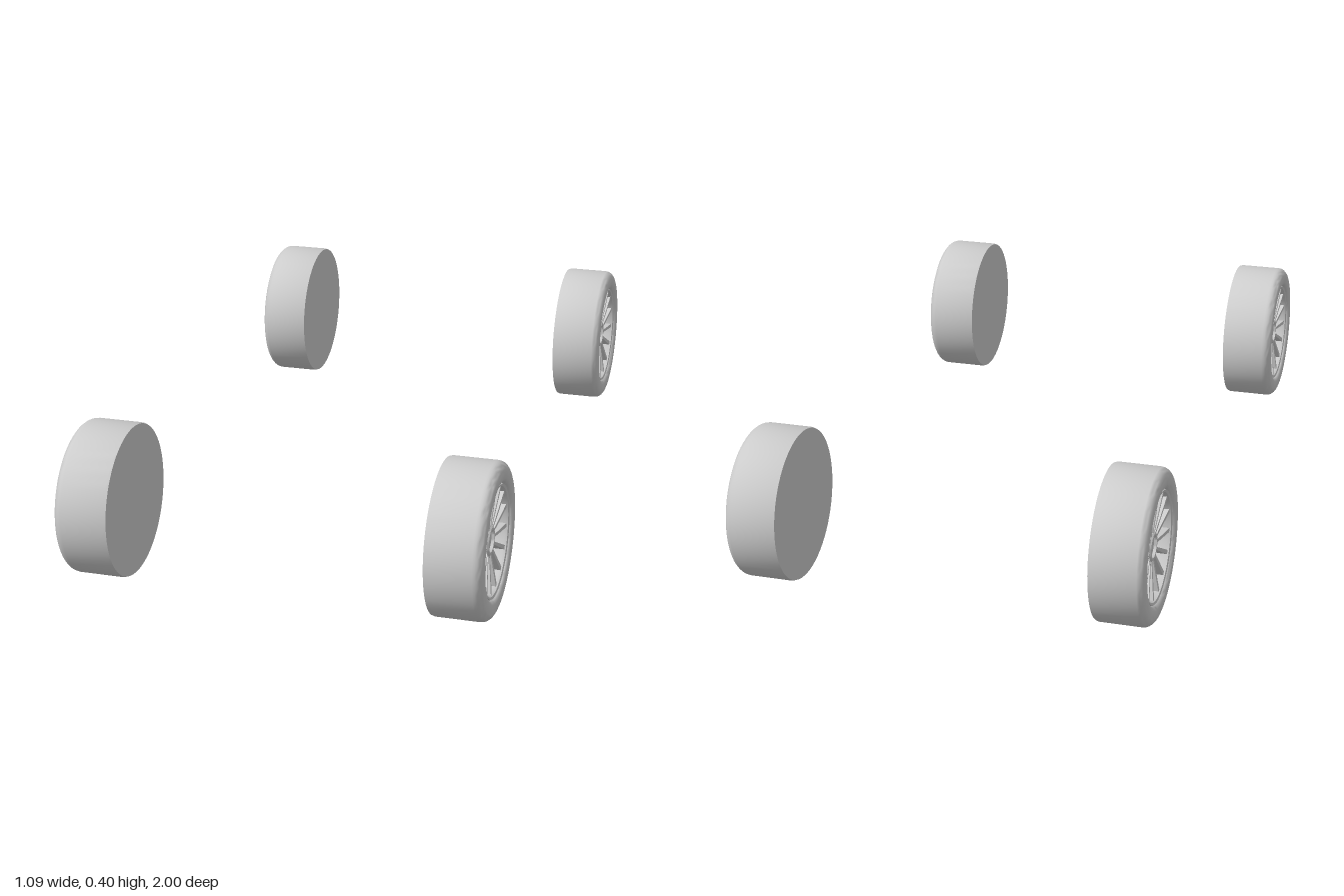
import * as THREE from 'three';
import { toCreasedNormals } from 'three/addons/utils/BufferGeometryUtils.js';

const material = new THREE.MeshStandardMaterial({ color: 0xcccccc });
const SPOKES = 15;

function part(name, geometry, parent) {
  const mesh = new THREE.Mesh(geometry, material);
  mesh.name = name;
  parent.add(mesh);
  return mesh;
}

// Turned part around y, from [radius, height] pairs
function turned(points, segments = 64) {
  const profile = points.map(([r, h]) => new THREE.Vector2(r, h));
  return toCreasedNormals(new THREE.LatheGeometry(profile, segments), 0.6);
}

// Tapered bar running along +x, with its outer face sloping from h0 to h1
function spokeGeometry(r0, r1, w0, w1, h0, h1, depth) {
  const geo = new THREE.BoxGeometry(1, 1, 1);
  const p = geo.attributes.position;
  for (let i = 0; i < p.count; i++) {
    const outer = p.getX(i) > 0;
    const top = outer ? h1 : h0;
    p.setXYZ(i, outer ? r1 : r0, p.getY(i) > 0 ? top : top - depth, p.getZ(i) * (outer ? w1 : w0));
  }
  geo.computeVertexNormals();
  return geo;
}

// Wheel built along +y (outer side up), inner face on y = 0
function createWheel(name, radius, width) {
  const wheel = new THREE.Group();
  wheel.name = name;
  const w = width;

  // Tyre with flat closed back, rounded shoulder and sidewall
  const shoulder = [];
  for (let i = 0; i <= 6; i++) {
    const a = (i / 6) * Math.PI / 2;
    shoulder.push([radius - 0.026 + 0.026 * Math.cos(a), w - 0.024 + 0.024 * Math.sin(a)]);
  }
  part('tyre', turned([
    [0, 0], [radius - 0.002, 0], [radius, 0.006], ...shoulder,
    [0.155, w - 0.001], [0.147, w - 0.005], [0.143, w - 0.012],
    [0.141, w - 0.05], [0, w - 0.05],
  ]), wheel);

  // Rim ring holding the spoke ends
  part('rim', turned([
    [0.133, w - 0.05], [0.142, w - 0.05], [0.144, w - 0.012],
    [0.142, w - 0.007], [0.136, w - 0.009], [0.133, w - 0.016], [0.133, w - 0.05],
  ]), wheel);

  // Hub with a shallow hollow cap
  part('hub', turned([
    [0.04, w - 0.05], [0.038, w - 0.024], [0.034, w - 0.02],
    [0.028, w - 0.02], [0.026, w - 0.027], [0, w - 0.027],
  ], 32), wheel);

  // Radial spokes
  const spoke = spokeGeometry(0.032, 0.138, 0.007, 0.011, w - 0.024, w - 0.012, 0.024);
  for (let i = 0; i < SPOKES; i++) {
    part('spoke', spoke, wheel).rotation.y = Math.PI + (i / SPOKES) * Math.PI * 2;
  }
  return wheel;
}

export function createModel() {
  const model = new THREE.Group();
  model.name = 'wheelSet';
  const axles = [
    { label: 'front', z: 0.802, radius: 0.198, width: 0.143, inner: 0.402 },
    { label: 'rear', z: -0.803, radius: 0.197, width: 0.137, inner: 0.398 },
  ];
  for (const { label, z, radius, width, inner } of axles) {
    for (const side of [1, -1]) {
      const wheel = createWheel(label + (side > 0 ? 'LeftWheel' : 'RightWheel'), radius, width);
      wheel.rotation.z = -side * Math.PI / 2;
      wheel.position.set(side * inner, 0.198, z);
      // Keep a spoke pointing straight up on both sides
      if (side < 0) wheel.rotation.x = Math.PI;
      if (side < 0) wheel.rotation.z = -Math.PI / 2 + Math.PI;
      if (side < 0) wheel.rotation.x = 0;
      if (side < 0) wheel.children.forEach((c) => { c.rotation.y += Math.PI; });
      model.add(wheel);
    }
  }
  return model;
}
